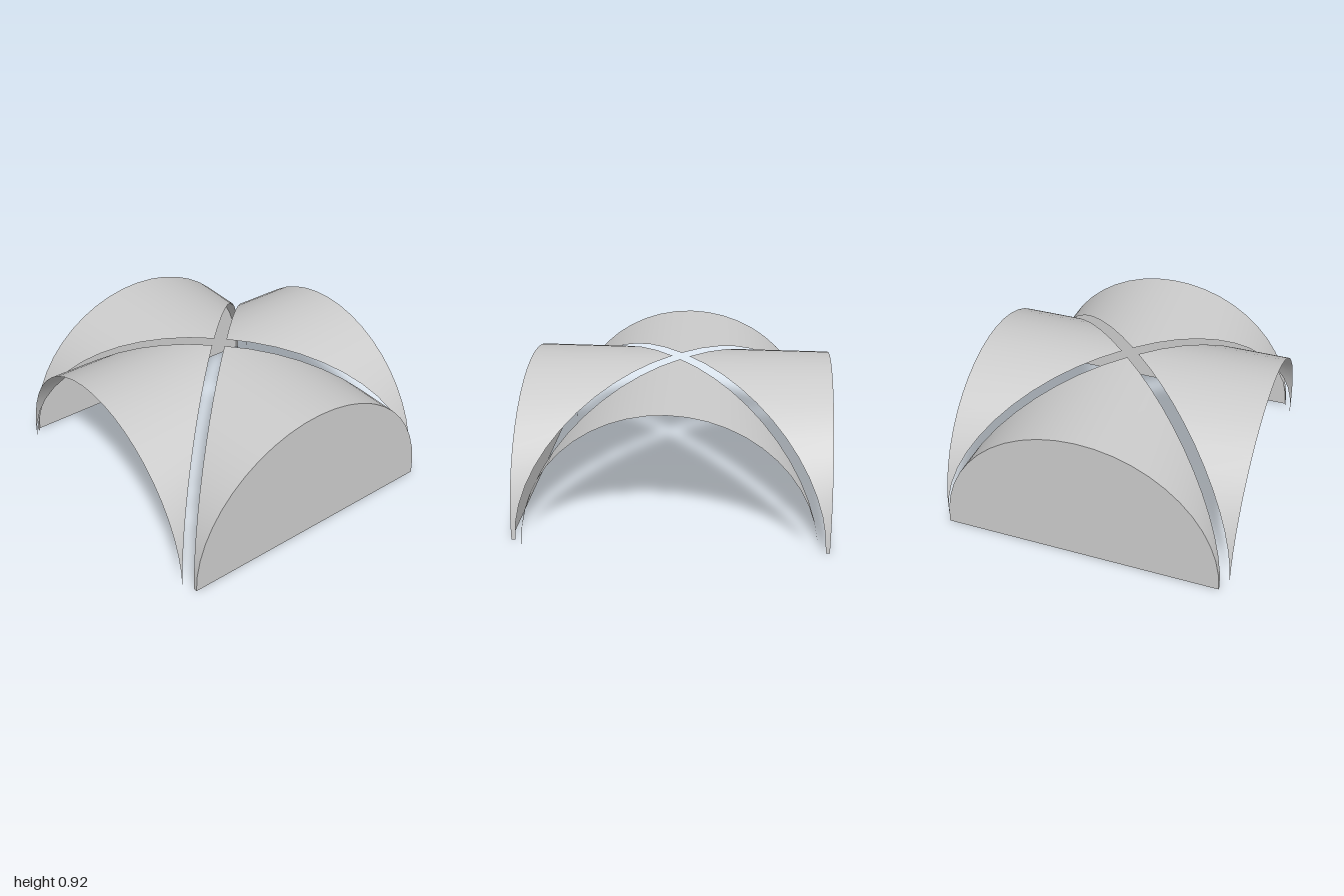
import * as THREE from 'three';

const HEIGHT = 0.92;
const SEGMENTS = 24;
const material = new THREE.MeshStandardMaterial({ color: 0xcccccc, side: THREE.DoubleSide });

// One quarter of a groin vault, opening toward +z: a thin half barrel
// running from the diagonal groin line out to a straight outer arch.
function vaultGeometry(halfWidth, tip, corner, outer) {
  const positions = [];
  const index = [];
  for (let i = 0; i <= SEGMENTS; i++) {
    const a = (i / SEGMENTS) * Math.PI;
    const c = Math.cos(a);
    const x = halfWidth * c;
    const y = HEIGHT * Math.sin(a);
    const groin = tip + Math.abs(c) * (corner - tip);
    positions.push(x, y, groin, x, y, outer);
    if (i < SEGMENTS) {
      const k = i * 2;
      index.push(k, k + 2, k + 1, k + 1, k + 2, k + 3);
    }
  }
  const geometry = new THREE.BufferGeometry();
  geometry.setAttribute('position', new THREE.Float32BufferAttribute(positions, 3));
  geometry.setIndex(index);
  geometry.computeVertexNormals();
  return geometry;
}

export function createModel() {
  const model = new THREE.Group();
  model.name = 'groinVault';

  const add = (parent, name, geometry) => {
    const mesh = new THREE.Mesh(geometry, material);
    mesh.name = name;
    parent.add(mesh);
  };

  // Open vaults at the front and back
  const openVault = vaultGeometry(0.922, 0.058, 0.975, 0.976);
  // Side vaults, each closed by a half-round end wall
  const sideHalf = 0.927;
  const sideVault = vaultGeometry(sideHalf, 0.057, 0.975, 1);
  const endWall = new THREE.CircleGeometry(1, SEGMENTS, 0, Math.PI)
    .scale(sideHalf, HEIGHT, 1)
    .translate(0, 0, 1);

  ['front', 'left', 'back', 'right'].forEach((side, i) => {
    const quarter = new THREE.Group();
    quarter.name = side + 'Quarter';
    quarter.rotation.y = (i * Math.PI) / 2;
    const closed = i % 2 === 1;
    add(quarter, side + 'Vault', closed ? sideVault : openVault);
    if (closed) add(quarter, side + 'EndWall', endWall);
    model.add(quarter);
  });

  return model;
}
